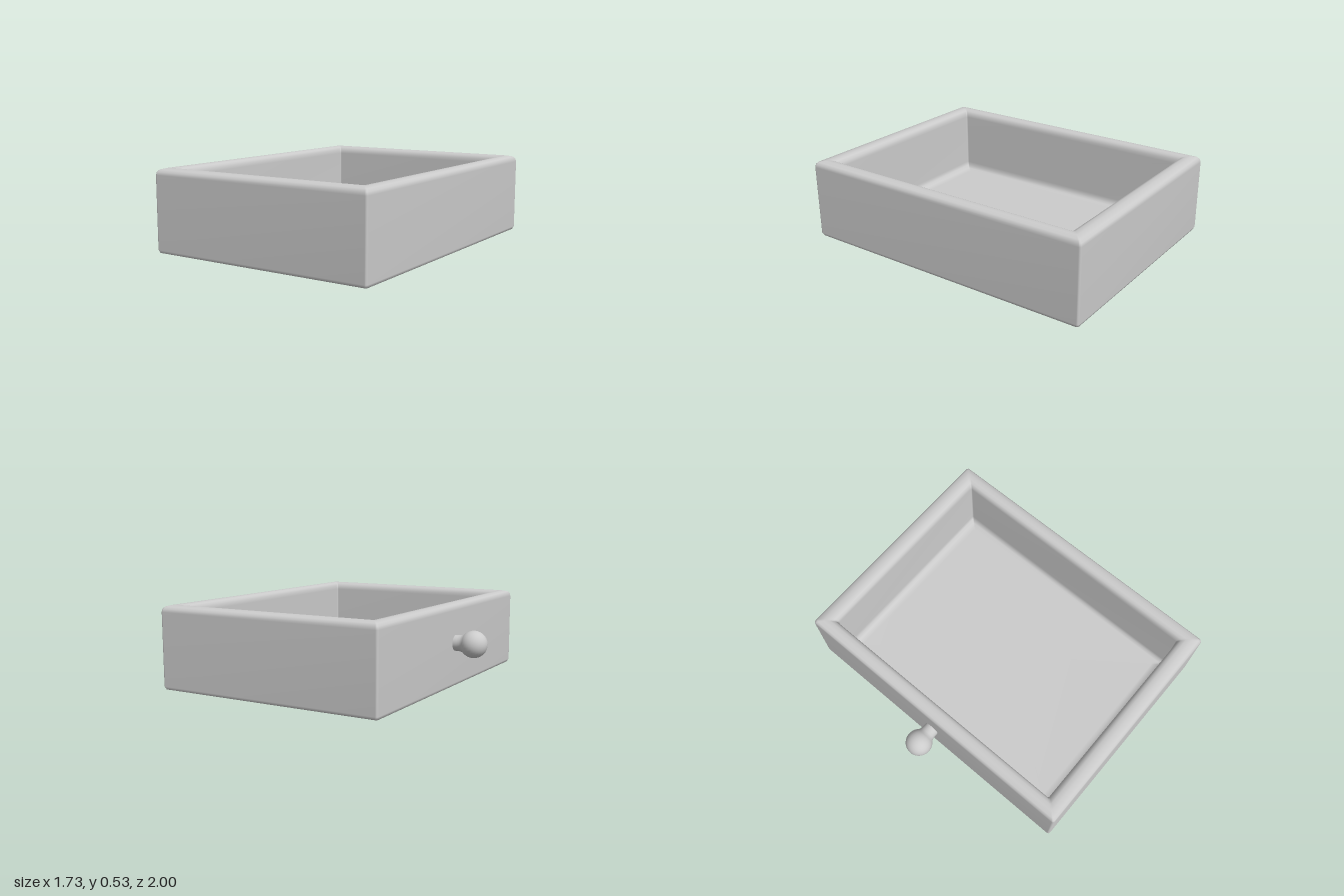
import * as THREE from 'three';

const mat = new THREE.MeshStandardMaterial({ color: 0xcccccc });

// Rounded-rectangle outline, running counter-clockwise seen from above
function outline(hx, hz, r, steps = 3) {
  const pts = [];
  const corners = [[1, -1], [-1, -1], [-1, 1], [1, 1]];
  corners.forEach(([sx, sz], c) => {
    for (let i = 0; i <= steps; i++) {
      const a = (c + i / steps) * Math.PI / 2;
      pts.push([sx * (hx - r) + r * Math.cos(a), sz * (hz - r) - r * Math.sin(a)]);
    }
  });
  return pts;
}

// Skin stacked outlines given as [inset, height, corner radius], capped at both ends.
// The end walls are thicker than the side walls by the factor zThick.
function loft(hx, hz, zThick, rings) {
  const pos = [], idx = [];
  let n = 0;
  rings.forEach(([inset, y, r]) => {
    const o = outline(hx - inset, hz - inset * zThick, r);
    n = o.length;
    o.forEach(([x, z]) => pos.push(x, y, z));
  });
  for (let k = 0; k < rings.length - 1; k++) {
    for (let i = 0; i < n; i++) {
      const j = (i + 1) % n, a = k * n + i, b = k * n + j;
      idx.push(a, b, b + n, a, b + n, a + n);
    }
  }
  const last = (rings.length - 1) * n;
  const bottom = pos.length / 3, floor = bottom + 1;
  pos.push(0, rings[0][1], 0, 0, rings[rings.length - 1][1], 0);
  for (let i = 0; i < n; i++) {
    const j = (i + 1) % n;
    idx.push(bottom, j, i, floor, last + i, last + j);
  }
  const g = new THREE.BufferGeometry();
  g.setAttribute('position', new THREE.Float32BufferAttribute(pos, 3));
  g.setIndex(idx);
  g.computeVertexNormals();
  return g;
}

export function createModel() {
  const group = new THREE.Group();

  // Open tray: underside, outer walls, soft rim, inner walls and floor in one skin
  const tray = new THREE.Mesh(loft(0.762, 1, 1.17, [
    [0.025, 0, 0.012], [0.008, 0.006, 0.014], [0, 0.025, 0.015],
    [0, 0.49, 0.015], [0.004, 0.51, 0.014], [0.016, 0.524, 0.012], [0.045, 0.532, 0.01],
    [0.07, 0.531, 0.01], [0.088, 0.523, 0.01], [0.099, 0.506, 0.01], [0.103, 0.48, 0.01],
    [0.107, 0.12, 0.01], [0.112, 0.093, 0.01], [0.127, 0.075, 0.01], [0.16, 0.067, 0.01],
  ]), mat);
  tray.name = 'drawerBox';
  tray.position.x = 0.103;
  group.add(tray);

  // Knob: short neck running into a ball, turned about the x axis
  const R = 0.086, centre = 0.123;
  const profile = [[0.05, -0.02], [0.05, 0.025], [0.053, 0.045]]
    .map(([r, h]) => new THREE.Vector2(r, h));
  for (let i = 0; i <= 14; i++) {
    const a = THREE.MathUtils.lerp(-0.83, Math.PI / 2, i / 14);
    profile.push(new THREE.Vector2(Math.max(0, R * Math.cos(a)), centre + R * Math.sin(a)));
  }
  const knob = new THREE.Mesh(new THREE.LatheGeometry(profile, 32), mat);
  knob.name = 'knob';
  knob.rotation.z = Math.PI / 2;
  knob.position.set(-0.659, 0.282, 0.008);
  group.add(knob);

  return group;
}
